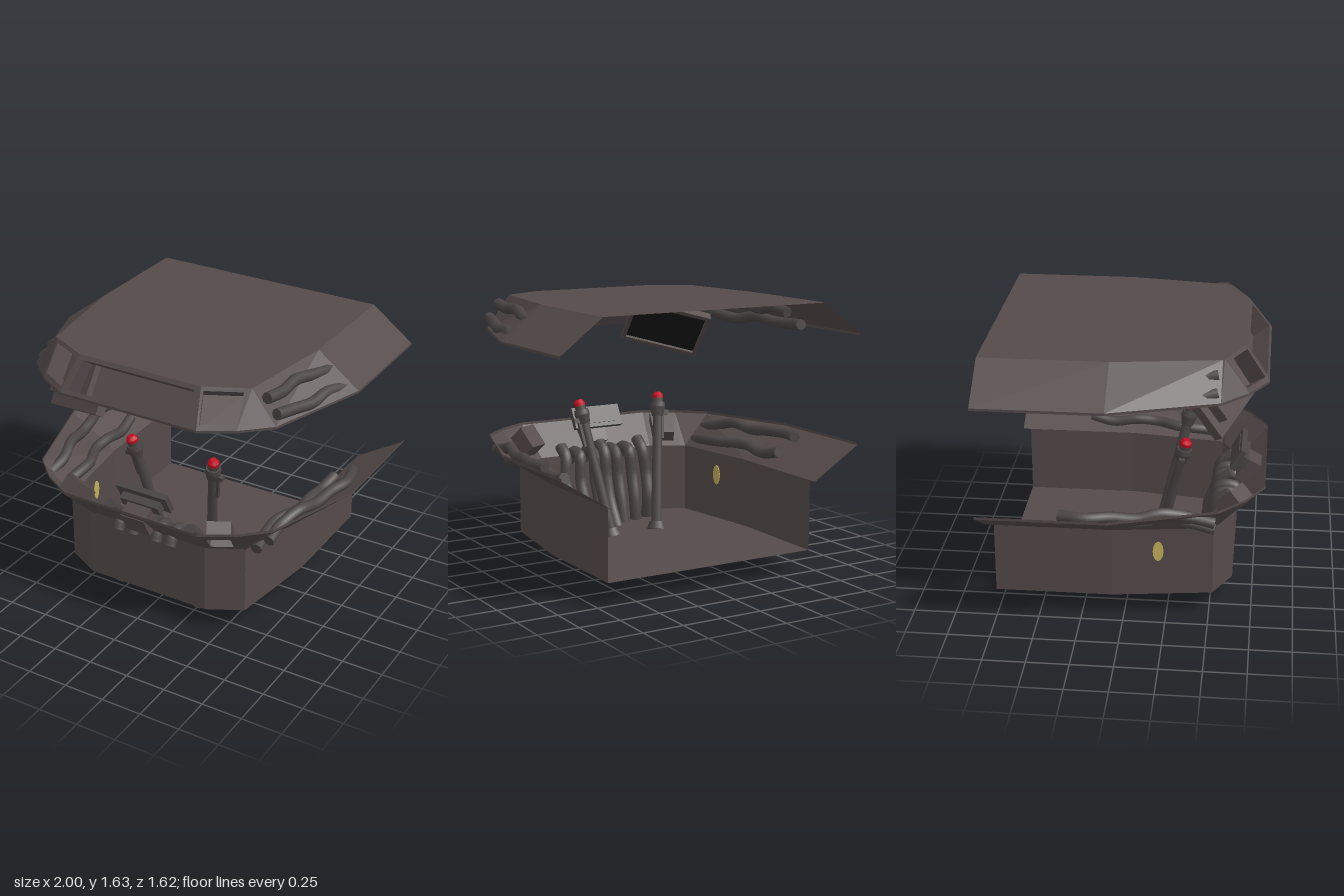
import * as THREE from 'three';

const V = (x, y, z) => new THREE.Vector3(x, y, z);
const mat = (name, color, side = THREE.FrontSide) => {
  const m = new THREE.MeshStandardMaterial({ color, side });
  m.name = name;
  return m;
};

export function createModel() {
  const root = new THREE.Group();
  root.name = 'cockpit';
  const hull = mat('hull brown grey', 0x544a49, THREE.DoubleSide);
  const metal = mat('pipe grey', 0x4a4544, THREE.DoubleSide);
  const dark = mat('screen black', 0x171616);
  const red = mat('knob red', 0xc40a1e);
  const gold = mat('spot gold', 0xc2ae5c, THREE.DoubleSide);

  const add = (name, geo, m, parent = root) => {
    const mesh = new THREE.Mesh(geo, m);
    mesh.name = name;
    parent.add(mesh);
    return mesh;
  };
  const quadMesh = (name, quads, m) => {
    const pos = [];
    for (const [a, b, c, d] of quads) for (const p of [a, b, c, a, c, d]) pos.push(p.x, p.y, p.z);
    const g = new THREE.BufferGeometry();
    g.setAttribute('position', new THREE.Float32BufferAttribute(pos, 3));
    g.computeVertexNormals();
    return add(name, g, m);
  };

  // Half outlines [x, z] from back to front, mirrored into an open ring
  const ring = (half, y) => [
    ...half.map(([x, z]) => V(-x, y, z)),
    ...half.slice().reverse().map(([x, z]) => V(x, y, z))];
  const rim = [[1, -0.81], [1, -0.07], [0.8, 0.55], [0.64, 0.7], [0.45, 0.81]];
  const roofTop = [[0.74, -0.81], [0.74, -0.07], [0.65, 0.55], [0.63, 0.56], [0.4, 0.67]];
  const waist = [[0.69, -0.81], [0.69, -0.07], [0.61, 0.52], [0.58, 0.535], [0.4, 0.63]];
  const tub = waist.map(([x, z]) => [x, Math.max(z, -0.76)]);

  // Panel with a sunken box: frame strips, side walls and back plate
  const sunken = (a, b, c, d, [u0, u1, v0, v1], depth) => {
    const at = (u, v) => a.clone().lerp(b, u).lerp(d.clone().lerp(c, u), v);
    const n = b.clone().sub(a).cross(d.clone().sub(a)).normalize().multiplyScalar(-depth);
    const o = [a, b, c, d];
    const w = [at(u0, v0), at(u1, v0), at(u1, v1), at(u0, v1)];
    const back = w.map((p) => p.clone().add(n));
    const quads = [back];
    for (let i = 0; i < 4; i++) {
      const j = (i + 1) % 4;
      quads.push([o[i], o[j], w[j], w[i]], [w[i], w[j], back[j], back[i]]);
    }
    return quads;
  };
  const band = (lo, hi, windows = {}, depth = 0.12) => {
    const quads = [];
    for (let i = 0; i < lo.length - 1; i++) {
      const q = [lo[i], lo[i + 1], hi[i + 1], hi[i]];
      if (windows[i]) quads.push(...sunken(...q, windows[i], depth));
      else quads.push(q);
    }
    return quads;
  };
  const plate = (name, half, y) => {
    const s = new THREE.Shape(ring(half, 0).map((p) => new THREE.Vector2(p.x, -p.z)));
    add(name, new THREE.ShapeGeometry(s).rotateX(-Math.PI / 2).translate(0, y, 0), hull);
  };

  // Roof shell with three sunken front windows
  plate('roofPlate', roofTop, 1.635);
  quadMesh('roofSides', [
    ...band(ring(rim, 1.44), ring(roofTop, 1.635),
      { 3: [0.06, 0.94, 0.13, 0.9], 4: [0.05, 0.95, 0.1, 0.88], 5: [0.06, 0.94, 0.13, 0.9] }),
    ...band(ring(rim, 1.425), ring(rim, 1.44))], hull);

  // Lower tub, open at the back, with a flared rim
  plate('floor', tub, 0.14);
  quadMesh('tubWalls', band(ring(tub, 0.14), ring(tub, 0.57)), hull);
  const flareWindow = [0.2, 0.85, 0.15, 0.74];
  quadMesh('flaredRim', [
    ...band(ring(waist, 0.57), ring(rim, 0.762), { 3: flareWindow, 5: flareWindow }, 0.11),
    ...band(ring(rim, 0.762), ring(rim, 0.778))], hull);

  // Capped pipe through a few points
  const pipe = (name, pts, r, sides = 8) => {
    const g = new THREE.Group();
    g.name = name;
    const curve = new THREE.CatmullRomCurve3(pts);
    add('tube', new THREE.TubeGeometry(curve, 32, r, sides), metal, g);
    for (const t of [0, 1]) {
      const cap = add('cap', new THREE.CircleGeometry(r, sides), metal, g);
      cap.position.copy(curve.getPoint(t));
      cap.quaternion.setFromUnitVectors(V(0, 0, 1), curve.getTangent(t).multiplyScalar(t ? 1 : -1));
    }
    root.add(g);
  };

  // Wavy pipes along the sloping sides of the roof and the rim
  const sideX = (half, z) => {
    const t = Math.max(0, (z + 0.07) / 0.62);
    return half[1][0] + (half[2][0] - half[1][0]) * t;
  };
  const slopePipe = (name, s, lo, hi, y0, y1, t, outs, r) => {
    const up = y1 - y0, pts = outs.map((out, i) => {
      const z = 0.53 - i * 0.147;
      const f = t + 0.05 * Math.sin(i * 2.1 + t * 5);
      const run = sideX(hi, z) - sideX(lo, z), len = Math.hypot(run, up);
      const sign = run < 0 ? -1 : 1;
      return V(s * (sideX(lo, z) + run * f + out * up / len),
        y0 + up * f - sign * out * Math.abs(run) / len, z);
    });
    pipe(name, pts, r);
  };
  for (const s of [-1, 1]) {
    for (const t of [0.22, 0.68]) {
      slopePipe('rimPipe', s, waist, rim, 0.57, 0.77, t,
        [0.03, -0.02, -0.045, -0.03, -0.05, -0.035, -0.05], 0.034);
      const outs = s > 0
        ? [0.035, 0.015, 0.0, -0.012, -0.03, -0.035, -0.035]
        : [-0.01, -0.035, -0.045, -0.03, -0.045, -0.035, -0.045];
      slopePipe('roofPipe', s, rim, roofTop, 1.43, 1.635, t, outs, 0.034);
    }
  }

  // Pipes from the front rim down through the floor: x, bottom y, bottom z
  for (const [x, y, z] of [[0.28, 0.04, 0.49], [0.18, 0.06, 0.43], [0.08, 0.01, 0.39], [0, 0.09, 0.34]]) {
    for (const s of x ? [-1, 1] : [1]) {
      const top = x === 0.18 || x === 0.08
        ? [V(s * x, 0.53, 0.66), V(s * x, 0.59, 0.62)] : [V(s * x, 0.64, 0.6)];
      pipe('frontPipe', [...top, V(s * x, 0.58, 0.53), V(s * x * 1.05, 0.42, 0.5),
        V(s * x, 0.27, 0.45), V(s * x, y, z)], 0.038);
    }
  }

  // Two control levers leaning forward and outward
  for (const s of [-1, 1]) {
    const lever = new THREE.Group();
    lever.name = s > 0 ? 'leftLever' : 'rightLever';
    const base = V(s * 0.16, 0.14, 0.14);
    const dir = V(s * 0.285, 0.97, 0.335).sub(base).normalize();
    lever.position.copy(base);
    lever.quaternion.setFromUnitVectors(V(0, 1, 0), dir);
    root.add(lever);
    const part = (name, r0, r1, y0, y1, m) =>
      add(name, new THREE.CylinderGeometry(r1, r0, y1 - y0, 8).translate(0, (y0 + y1) / 2, 0).toNonIndexed(), m, lever);
    part('shaft', 0.034, 0.03, 0, 0.76, metal);
    part('socket', 0.06, 0.045, 0, 0.05, metal);
    part('grip', 0.036, 0.05, 0.72, 0.78, metal);
    part('collar', 0.05, 0.046, 0.78, 0.81, metal);
    part('neck', 0.036, 0.036, 0.81, 0.835, metal);
    part('knob', 0.036, 0.036, 0.835, 0.855, red);
    part('knobTop', 0.036, 0.02, 0.855, 0.875, red);
    add('trigger', new THREE.BoxGeometry(0.04, 0.03, 0.035).translate(s * 0.05, 0.75, 0), metal, lever);
    add('sideSwitch', new THREE.BoxGeometry(0.022, 0.16, 0.022).translate(s * 0.032, 0.66, 0), metal, lever);
  }

  // Centre console with a raised display facing the pilot
  const console_ = new THREE.Group();
  console_.name = 'console';
  console_.position.set(0, 0.8, 0.64);
  console_.rotation.x = 0.5;
  root.add(console_);
  add('displayBack', new THREE.BoxGeometry(0.34, 0.14, 0.035), metal, console_);
  add('displayRear', new THREE.BoxGeometry(0.26, 0.07, 0.05).translate(0, -0.01, 0.04), metal, console_);
  add('displayScreen', new THREE.BoxGeometry(0.27, 0.09, 0.006).translate(0, 0, -0.019), metal, console_);
  const nose = add('noseBox', new THREE.BoxGeometry(0.16, 0.15, 0.1), hull);
  nose.position.set(0, 0.685, 0.705);
  nose.rotation.x = 0.5;

  // Tilted monitor hanging from the right side of the roof
  const monitor = new THREE.Group();
  monitor.name = 'monitor';
  const u = V(0.46, 0.13, 0.19).normalize(), v0 = V(0, 0.26, -0.19).normalize();
  const n = u.clone().cross(v0).normalize(), v = n.clone().cross(u);
  monitor.quaternion.setFromRotationMatrix(new THREE.Matrix4().makeBasis(u, v, n));
  monitor.position.set(-0.69, 1.17, 0.53);
  root.add(monitor);
  const slab = (name, w, h, d, x, y, z, m) =>
    add(name, new THREE.BoxGeometry(w, h, d).translate(x, y, z), m, monitor);
  slab('monitorBack', 0.51, 0.33, 0.03, 0.255, 0.165, 0.025, hull);
  slab('monitorMount', 0.4, 0.22, 0.07, 0.255, 0.18, 0.07, hull);
  slab('monitorScreen', 0.46, 0.28, 0.006, 0.255, 0.165, 0.008, dark);
  for (const y of [0.0125, 0.3175]) slab('screenFrame', 0.51, 0.025, 0.03, 0.255, y, 0, hull);
  for (const x of [0.0125, 0.4975]) slab('screenFrame', 0.025, 0.33, 0.03, x, 0.165, 0, hull);

  // Gold spots on the window back plate and on the right tub wall
  for (const [x, y, r] of [[0.12, 1.475, 0.036], [0.24, 1.46, 0.03]]) {
    const spot = add('windowSpot', new THREE.CylinderGeometry(r, r, 0.008, 12).rotateX(Math.PI / 2), gold);
    spot.position.set(x, y, 0.64 - (y - 1.46) * 0.69);
    spot.rotation.x = -0.6;
  }
  const wallSpot = add('wallSpot', new THREE.CylinderGeometry(0.04, 0.04, 0.009, 12)
    .rotateZ(Math.PI / 2).scale(1, 1.6, 0.8), gold);
  wallSpot.position.set(-0.653, 0.425, 0.2);
  wallSpot.rotation.y = 0.135;

  return root;
}
